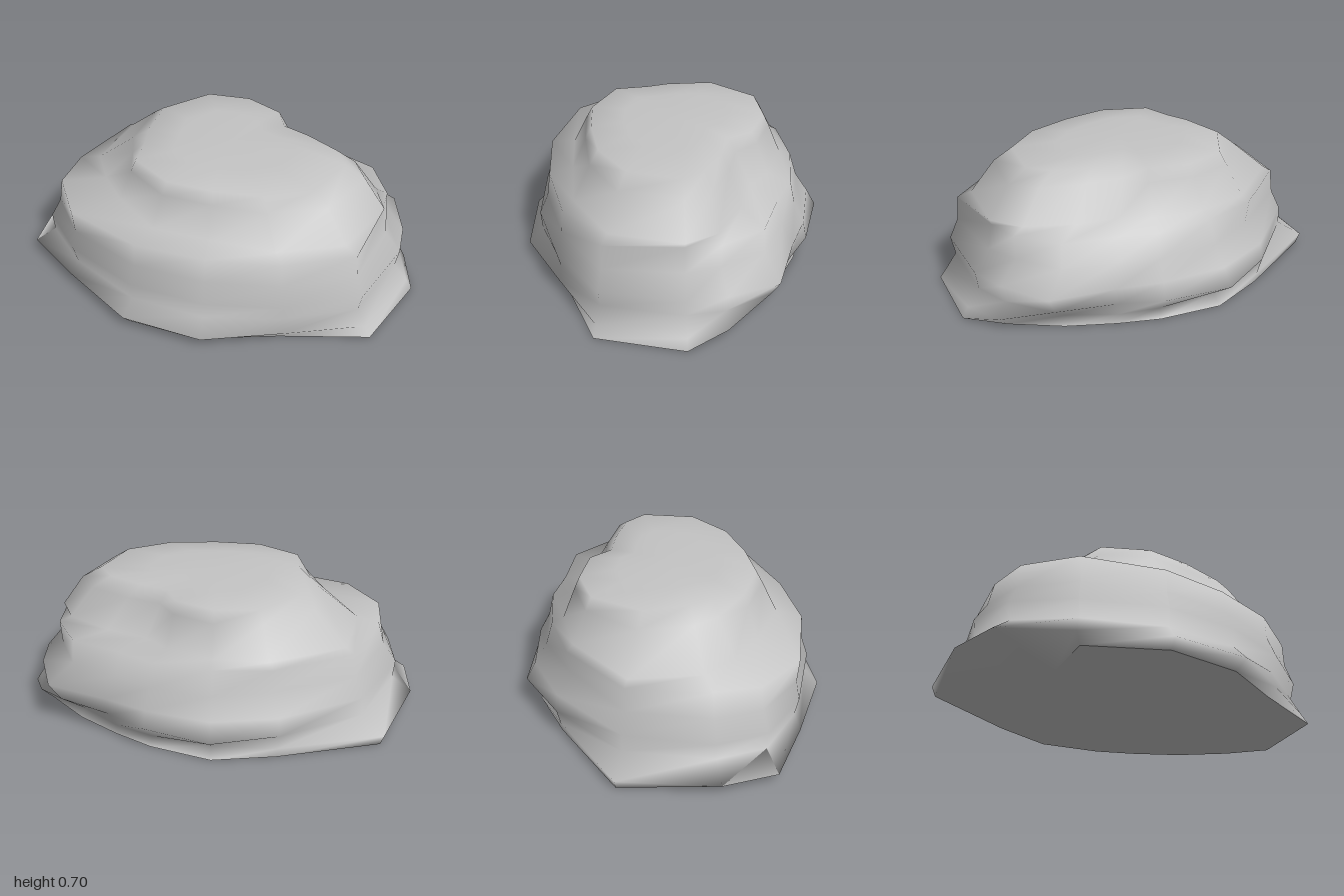
import * as THREE from 'three';

// Corner directions in degrees from +x towards +z, and the outline radius at each corner
const ANGLES = [1, 27, 52, 82, 113, 144, 164, 180, 209, 242, 268, 295, 313, 332, 349];
const FOOT = [1, .975, .72, .70, .74, .79, .58, .42, .95, .71, .69, .66, .68, .76, .88];
const SKIRT = [.97, .94, .76, .765, .785, .84, 1.02, 1, .97, .72, .64, .64, .68, .74, .94];
const BELLY = [.92, .91, .77, .70, .72, .82, .92, .91, .84, .73, .71, .70, .74, .92, .92];
const SHELF = [.81, .86, .72, .64, .68, .81, .85, .81, .78, .66, .61, .62, .64, .78, .82];
const LEDGE = [.82, .79, .65, .52, .55, .56, .62, .70, .74, .62, .55, .50, .48, .60, .76];
const CREST = [.61, .58, .49, .42, .44, .47, .41, .42, .48, .50, .46, .41, .34, .42, .55];
const N = ANGLES.length;

// Mixes two outlines, scales the result and adds bumps at given degrees (negative amounts are dents)
function blend(from, to, t, scale, bumps = []) {
  return from.map((r, j) => {
    const mixed = THREE.MathUtils.lerp(r, to[j], t) * scale;
    return bumps.reduce((sum, { at, width, amount }) => {
      const turn = THREE.MathUtils.euclideanModulo(ANGLES[j] - at + 180, 360) - 180;
      return sum + amount * Math.exp(-((turn / width) ** 2));
    }, mixed);
  });
}

function ring(y, radii) {
  return radii.flatMap((r, j) => {
    const a = THREE.MathUtils.degToRad(ANGLES[j]);
    return [Math.cos(a) * r, y, Math.sin(a) * r];
  });
}

function geometryFrom(positions, index) {
  const g = new THREE.BufferGeometry();
  g.setAttribute('position', new THREE.Float32BufferAttribute(positions, 3));
  g.setIndex(index);
  g.computeVertexNormals();
  return g;
}

export function createModel() {
  const stone = new THREE.MeshStandardMaterial({ color: 0xc4c4c4, side: THREE.DoubleSide });
  stone.name = 'grey stone';
  const group = new THREE.Group();
  group.name = 'boulder';

  // Ridge along the back, hollows under the shelf, and the swelling of the crown
  const backRidge = { at: 272, width: 32, amount: .085 };
  const sideHollow = { at: 340, width: 15, amount: -.06 };
  const rearHollow = { at: 238, width: 15, amount: -.04 };
  const swelling = { at: 5, width: 35, amount: .04 };

  // Sections from the ground to the domed top
  const sections = [
    [0, FOOT],
    [.05, SKIRT],
    [.13, blend(SKIRT, BELLY, .8, .97, [backRidge])],
    [.22, BELLY],
    [.32, blend(BELLY, SHELF, .5, .98, [sideHollow, rearHollow])],
    [.44, SHELF],
    [.465, LEDGE],
    [.62, blend(LEDGE, CREST, .7, 1, [swelling])],
    [.68, CREST],
    [.695, blend(CREST, CREST, 0, .6)],
  ];
  const positions = sections.flatMap(([y, radii]) => ring(y, radii));
  positions.push(.03, .702, 0);

  // Weathered sides and top
  const index = [];
  const last = (sections.length - 1) * N;
  for (let j = 0; j < N; j++) {
    const next = (j + 1) % N;
    for (let row = 0; row < last; row += N) {
      const a = row + j, b = row + next;
      index.push(a, a + N, b, b, a + N, b + N);
    }
    index.push(last + N, last + next, last + j);
  }
  const body = new THREE.Mesh(geometryFrom(positions, index), stone);
  body.name = 'rockBody';

  // Flat underside
  const baseIndex = [];
  for (let j = 0; j < N; j++) baseIndex.push(N, j, (j + 1) % N);
  const base = new THREE.Mesh(geometryFrom([...ring(0, FOOT), 0, 0, 0], baseIndex), stone);
  base.name = 'rockUnderside';

  group.add(body, base);
  return group;
}
